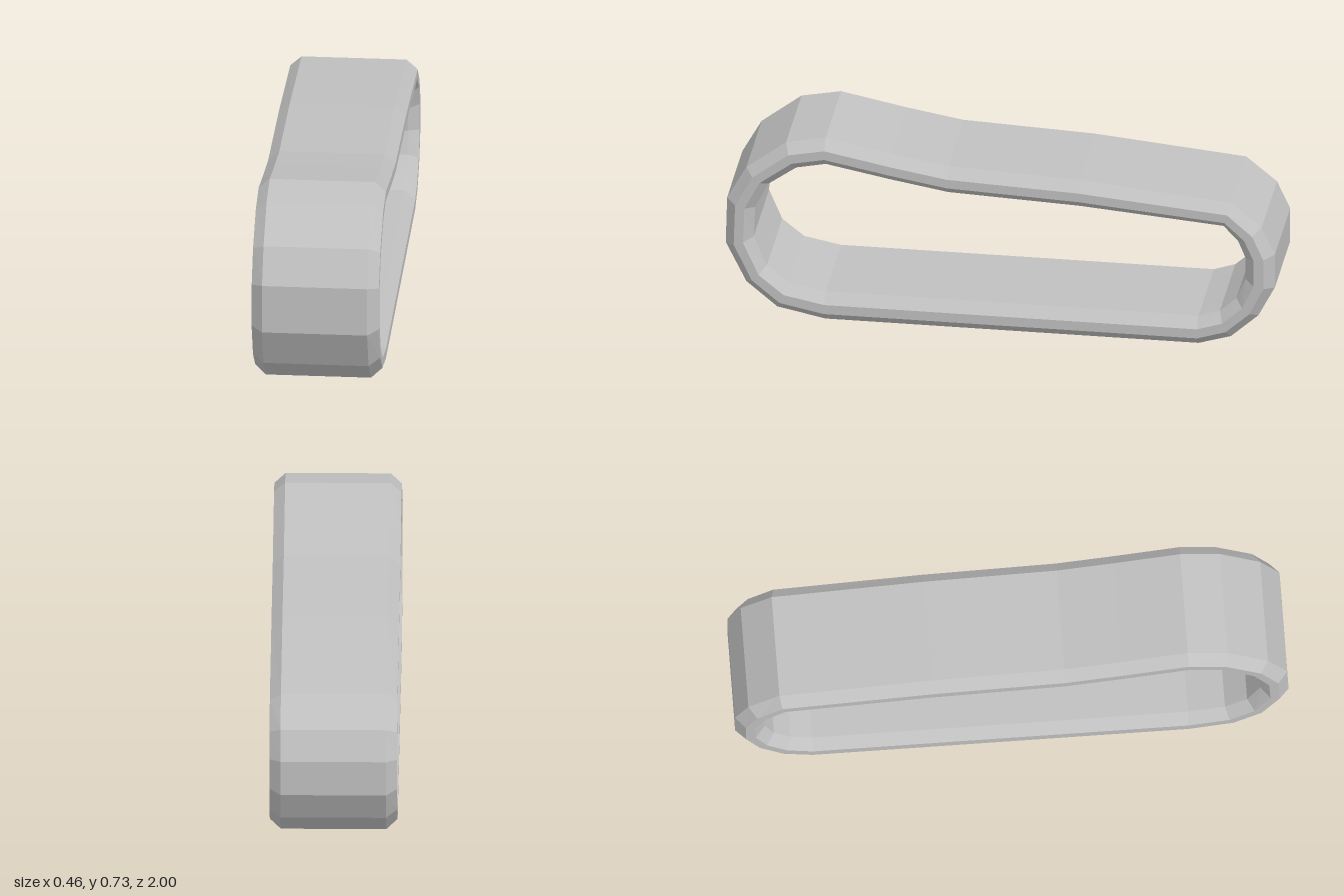
import * as THREE from 'three';

// Belt loop as [outer z, outer y, inner z, inner y], from the front hump down,
// along the ground, up the back and forward over the top.
const LOOP = [
  [0.636, 0.728, 0.636, 0.622], [0.78, 0.70, 0.743, 0.60],
  [0.925, 0.588, 0.845, 0.527], [0.995, 0.462, 0.893, 0.43],
  [1.0, 0.282, 0.898, 0.313], [0.925, 0.13, 0.85, 0.20],
  [0.812, 0.036, 0.77, 0.136], [0.636, 0, 0.636, 0.11],
  [-0.722, 0, -0.722, 0.11], [-0.84, 0.036, -0.80, 0.136],
  [-0.94, 0.127, -0.86, 0.19], [-1.0, 0.243, -0.893, 0.27],
  [-1.0, 0.375, -0.893, 0.355], [-0.952, 0.48, -0.866, 0.42],
  [-0.84, 0.572, -0.813, 0.477], [-0.29, 0.624, -0.29, 0.52],
  [0.19, 0.645, 0.19, 0.541], [0.395, 0.68, 0.395, 0.576],
];

// Chamfered cross-section: [x, depth from outer (0) to inner (1)]
const SECTION = [
  [-0.19, 0], [0.19, 0], [0.23, 0.34], [0.23, 0.67],
  [0.19, 1], [-0.19, 1], [-0.23, 0.67], [-0.23, 0.34],
];

// Sweep the section around the closed loop
function beltGeometry() {
  const positions = [], indices = [];
  const n = LOOP.length, m = SECTION.length;
  for (const [oz, oy, iz, iy] of LOOP) {
    for (const [x, d] of SECTION) {
      positions.push(x, oy + (iy - oy) * d, oz + (iz - oz) * d);
    }
  }
  for (let i = 0; i < n; i++) {
    for (let k = 0; k < m; k++) {
      const i2 = (i + 1) % n, k2 = (k + 1) % m;
      const a = i * m + k, b = i2 * m + k, c = i2 * m + k2, d = i * m + k2;
      indices.push(a, b, c, a, c, d);
    }
  }
  const indexed = new THREE.BufferGeometry();
  indexed.setAttribute('position', new THREE.Float32BufferAttribute(positions, 3));
  indexed.setIndex(indices);
  const geometry = indexed.toNonIndexed();
  geometry.computeVertexNormals();
  return geometry;
}

export function createModel() {
  const group = new THREE.Group();
  group.name = 'track';
  const grey = new THREE.MeshStandardMaterial({ color: 0xc0c0c0, flatShading: true });
  grey.name = 'light grey';
  const belt = new THREE.Mesh(beltGeometry(), grey);
  belt.name = 'trackBelt';
  group.add(belt);
  return group;
}
